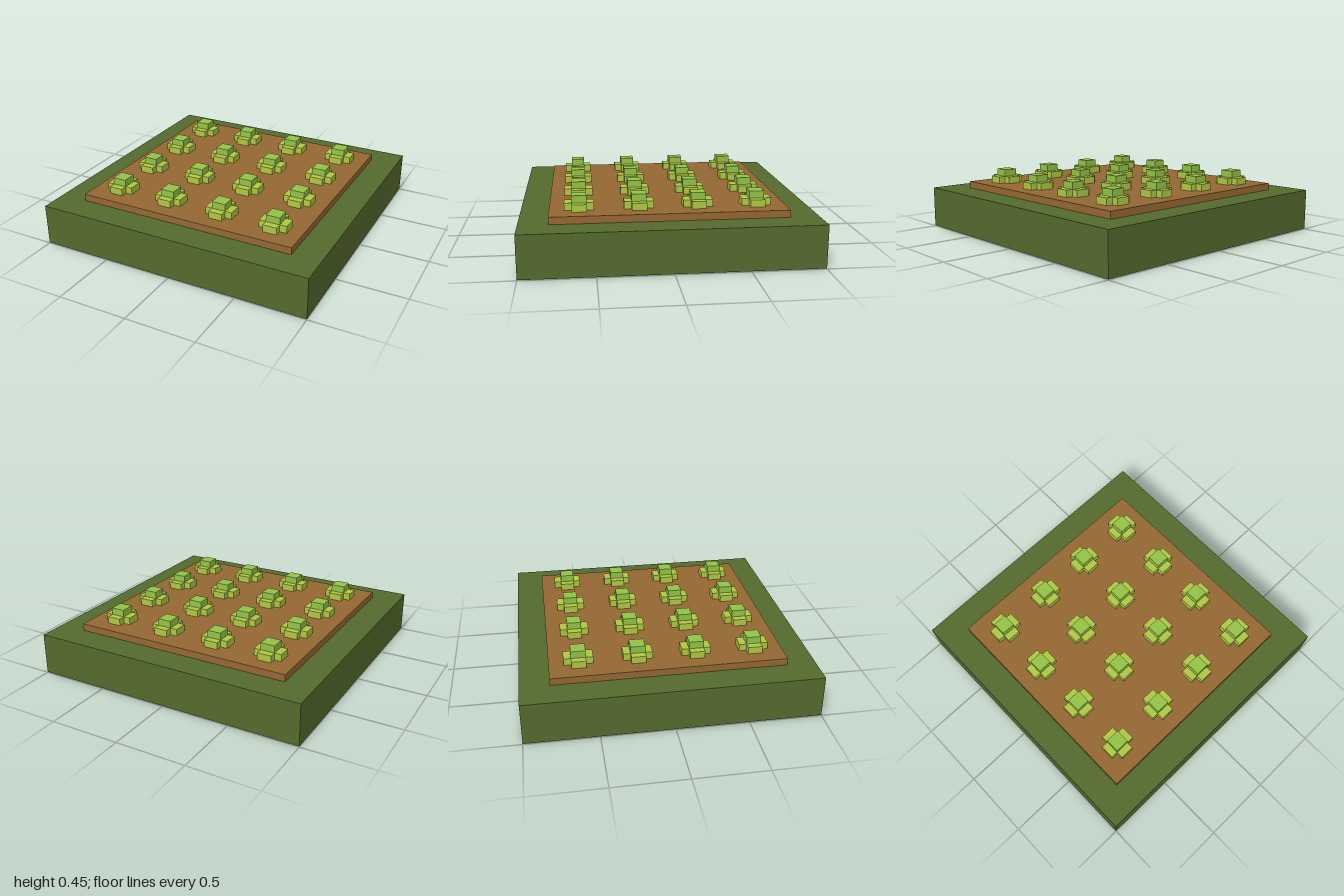
import * as THREE from 'three';

const material = (name, color) => {
  const m = new THREE.MeshStandardMaterial({ color });
  m.name = name;
  return m;
};

// Box resting on height y
function box(name, [w, h, d], [x, y, z], mat) {
  const mesh = new THREE.Mesh(new THREE.BoxGeometry(w, h, d), mat);
  mesh.name = name;
  mesh.position.set(x, y + h / 2, z);
  return mesh;
}

export function createModel() {
  const grass = material('grass green', 0x556b2d);
  const soil = material('soil brown', 0x966833);
  const leaf = material('outer leaf green', 0xb0c944);
  const heart = material('heart green', 0x94c447);
  const under = material('underside grey', 0x4a4a4a);

  const model = new THREE.Group();
  model.name = 'vegetablePatch';

  // Ground block, underside plate and raised soil bed
  model.add(
    box('underside', [1.9, 0.004, 1.9], [0, 0, 0], under),
    box('grassBlock', [2, 0.296, 2], [0, 0.004, 0], grass),
    box('soilBed', [1.6, 0.05, 1.6], [0, 0.3, 0], soil),
  );

  // One plant: a taller heart with four low leaves around it
  function plant() {
    const group = new THREE.Group();
    group.name = 'plant';
    group.add(box('heart', [0.1, 0.1, 0.1], [0, 0, 0], heart));
    for (const s of [-1, 1]) {
      group.add(
        box('sideLeaf', [0.05, 0.05, 0.1], [s * 0.075, 0, 0], leaf),
        box('endLeaf', [0.1, 0.05, 0.05], [0, 0, s * 0.075], leaf),
      );
    }
    return group;
  }

  // Four rows of four plants
  for (let row = 0; row < 4; row++) {
    for (let col = 0; col < 4; col++) {
      const p = plant();
      p.position.set(-0.6 + col * 0.4, 0.35, -0.6 + row * 0.4);
      model.add(p);
    }
  }
  return model;
}
